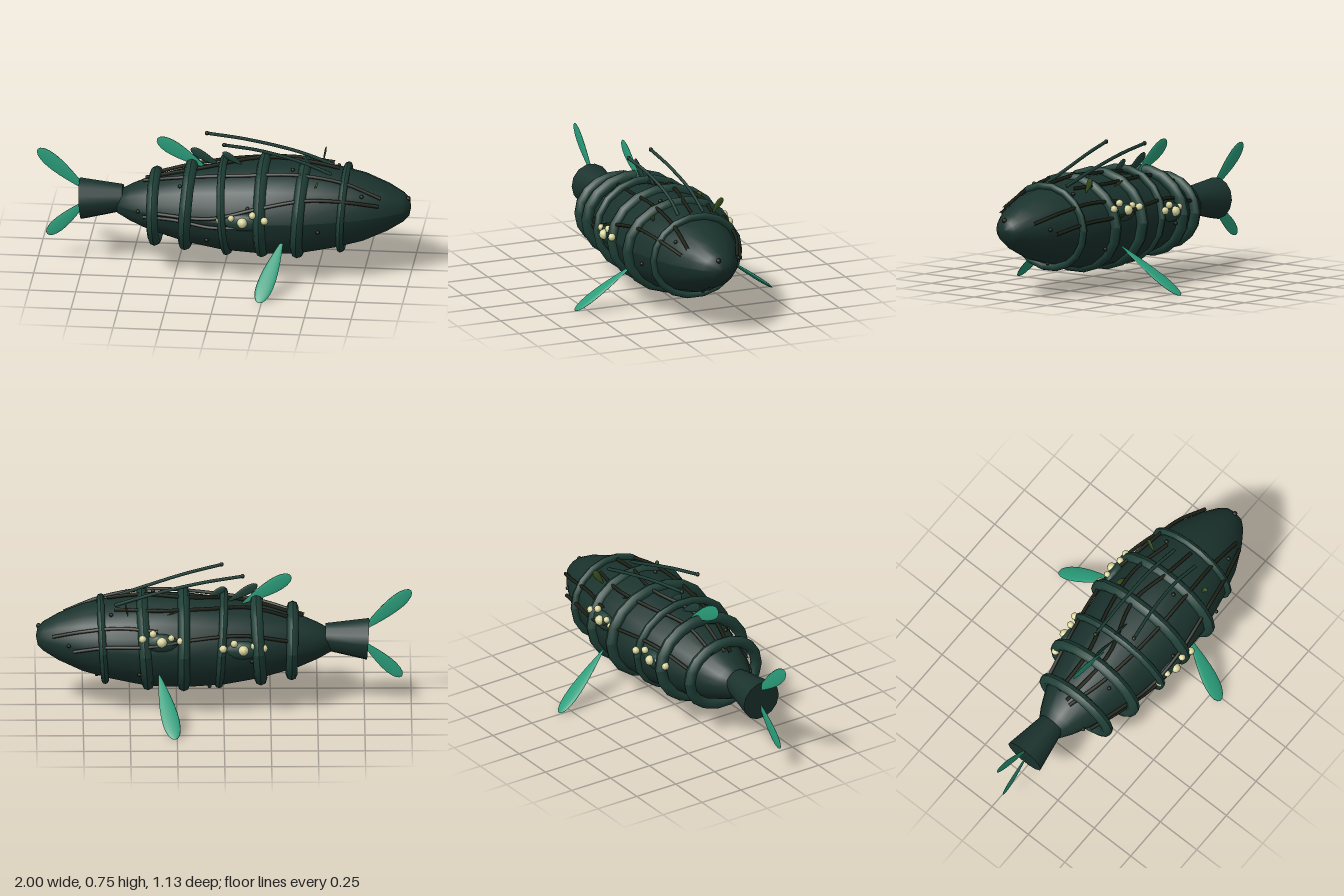
import * as THREE from 'three';

const mat = (color) => new THREE.MeshStandardMaterial({ color });
const V = (x, y, z) => new THREE.Vector3(x, y, z);

// Body profile: [x, vertical radius]; the body is wider than tall
const PROFILE = [[-0.57, 0.06], [-0.5, 0.098], [-0.4, 0.14], [-0.2, 0.197], [0, 0.232], [0.2, 0.25], [0.4, 0.25],
  [0.6, 0.216], [0.75, 0.18], [0.88, 0.125], [0.96, 0.078], [0.99, 0.048], [1, 0]];
const WIDE = 1.15, MID_Z = 0.04;
const midY = (x) => 0.348 + 0.03 * Math.max(0, x);

function radiusAt(x) {
  let i = 1;
  while (i < PROFILE.length - 1 && PROFILE[i][0] < x) i++;
  const [x0, r0] = PROFILE[i - 1], [x1, r1] = PROFILE[i];
  return THREE.MathUtils.mapLinear(x, x0, x1, r0, r1);
}

// Point on the hull: angle in degrees, 0 = +z side, 90 = top, 180 = -z side
function onHull(x, deg, off = 0) {
  const a = THREE.MathUtils.degToRad(deg), r = radiusAt(x) + off;
  return V(x, midY(x) + r * Math.sin(a), MID_Z + r * WIDE * Math.cos(a));
}

export function createModel() {
  const root = new THREE.Group();
  const hullMat = mat(0x1a322d), bandMat = mat(0x1f4037), vineMat = mat(0x1c2016);
  const finMat = mat(0x2a9d7a), podMat = mat(0xdcd8a0), leafMat = mat(0x3a5220);

  const add = (name, geo, material, parent = root) => {
    const m = new THREE.Mesh(geo, material);
    m.name = name;
    parent.add(m);
    return m;
  };
  const group = (name) => {
    const g = new THREE.Group();
    g.name = name;
    root.add(g);
    return g;
  };
  const ball = (name, p, r, material, parent) =>
    add(name, new THREE.SphereGeometry(r, 8, 6), material, parent).position.copy(p);
  const tube = (name, pts, r, material, parent) =>
    add(name, new THREE.TubeGeometry(new THREE.CatmullRomCurve3(pts), 24, r, 6), material, parent);

  // Hull: a lathe laid along x, widened and slightly lifted toward the nose
  const hull = new THREE.LatheGeometry(
    [[-0.57, 0], ...PROFILE].map(([x, r]) => new THREE.Vector2(r, x)), 18);
  hull.rotateZ(-Math.PI / 2);
  const hp = hull.attributes.position;
  for (let i = 0; i < hp.count; i++) {
    const x = hp.getX(i);
    hp.setXYZ(i, x, hp.getY(i) + midY(x), hp.getZ(i) * WIDE + MID_Z);
  }
  hull.computeVertexNormals();
  add('body', hull, hullMat);

  // Flared tail stem
  const stem = add('tailStem', new THREE.CylinderGeometry(0.112, 0.072, 0.23, 14), hullMat);
  stem.rotation.z = Math.PI / 2 + 0.06;
  stem.position.set(-0.655, 0.364, 0.037);

  // Bands wrapped around the hull: x, centre y, centre z, outer ry, outer rz, tube, tilt
  const bands = group('bands');
  [[-0.365, 0.34, 0.062, 0.21, 0.245, 0.031, 0.02],
    [-0.187, 0.36, 0.047, 0.25, 0.297, 0.033, -0.06],
    [0.012, 0.36, 0.053, 0.268, 0.308, 0.022, 0.06],
    [0.213, 0.362, 0.035, 0.277, 0.333, 0.032, 0],
    [0.418, 0.36, 0.043, 0.272, 0.325, 0.032, -0.07],
    [0.643, 0.362, 0.035, 0.242, 0.267, 0.02, -0.06]].forEach(([x, y, z, ry, rz, t, tilt]) => {
    const g = new THREE.TorusGeometry(1, t, 8, 18);
    const p = g.attributes.position;
    for (let i = 0; i < p.count; i++) {
      const a = Math.atan2(p.getY(i), p.getX(i));
      const d = Math.hypot(p.getX(i), p.getY(i)) - 1;
      p.setXYZ(i, p.getZ(i), (ry - t + d) * Math.sin(a), -(rz - t + d) * Math.cos(a));
    }
    g.computeVertexNormals();
    const band = add('band', g, bandMat, bands);
    band.position.set(x, y, z);
    band.rotation.z = tilt;
  });

  // Leaf-shaped blade from base to tip, narrow at the base
  function blade(name, base, tip, width, thick, normal, material) {
    const g = new THREE.SphereGeometry(1, 14, 12);
    const p = g.attributes.position;
    for (let i = 0; i < p.count; i++) {
      const v = (p.getY(i) + 1) / 2, k = 0.3 + 0.85 * v;
      p.setXYZ(i, p.getX(i) * k * width / 2, v, p.getZ(i) * k * thick / 2);
    }
    const dir = tip.clone().sub(base);
    const len = dir.length();
    dir.normalize();
    const side = dir.clone().cross(normal).normalize();
    const out = side.clone().cross(dir);
    g.scale(1, len, 1);
    g.computeVertexNormals();
    g.applyMatrix4(new THREE.Matrix4().makeBasis(side, dir, out).setPosition(base));
    return add(name, g, material);
  }
  const Z = V(0, 0, 1);

  // Tail and back fins stand in the middle plane
  blade('upperTailFin', V(-0.73, 0.4, 0.037), V(-1, 0.63, 0.037), 0.1, 0.012, Z, finMat);
  blade('lowerTailFin', V(-0.73, 0.35, 0.037), V(-0.95, 0.145, 0.037), 0.09, 0.012, Z, finMat);
  blade('backFin', V(-0.1, 0.56, 0.037), V(-0.36, 0.715, 0.037), 0.1, 0.012, Z, finMat);
  blade('backFinlet', V(-0.02, 0.57, 0.037), V(-0.18, 0.665, 0.037), 0.06, 0.012, Z, bandMat);
  blade('backFinlet', V(0.1, 0.58, 0.037), V(-0.01, 0.65, 0.037), 0.045, 0.012, Z, bandMat);

  // Side fins reach down and outward
  [['leftSideFin', V(0.335, 0.25, 0.27), V(0.235, 0.003, 0.565)],
    ['rightSideFin', V(0.345, 0.25, -0.225), V(0.26, 0.003, -0.567)]].forEach(([name, base, tip]) => {
    const n = tip.clone().sub(base).cross(V(1, 0, 0)).normalize();
    blade(name, base, tip, 0.115, 0.026, n, finMat);
  });

  // Trailing feelers with knob ends
  const feelers = group('feelers');
  [[V(0.58, 0.575, 0.11), V(0.42, 0.635, 0.1), V(0.2, 0.7, 0.12), V(0.01, 0.738, 0.153)],
    [V(0.58, 0.575, -0.035), V(0.38, 0.64, -0.045), V(0.12, 0.7, -0.035), V(-0.1, 0.733, -0.022)]].forEach((pts) => {
    tube('feeler', pts, 0.009, bandMat, feelers);
    ball('feelerKnob', pts[3], 0.012, vineMat, feelers);
  });

  // Creeping vines: lists of [x, degrees] on the hull
  const vines = group('vines');
  [[[-0.35, 4], [-0.05, 6], [0.2, 20], [0.45, 30], [0.65, 30], [0.84, 24]],
    [[-0.43, 80], [-0.2, 66], [0.1, 62], [0.4, 62], [0.65, 58], [0.85, 40]],
    [[-0.4, 112], [-0.15, 106], [0.1, 118], [0.35, 124], [0.58, 118]],
    [[-0.42, 90], [-0.1, 84], [0.2, 100], [0.45, 92], [0.62, 88]],
    [[0.35, 150], [0.55, 146], [0.75, 150], [0.91, 160]],
    [[-0.42, -8], [-0.25, -2], [-0.05, -6], [0.1, -4]],
    [[-0.35, 160], [-0.1, 152], [0.15, 158], [0.4, 168], [0.62, 172], [0.8, 186]]].forEach((path) =>
    tube('vine', path.map(([x, a]) => onHull(x, a, 0.012)), 0.01, vineMat, vines));

  // Clusters of pale pods on low mounds: centre x, degrees, pods as [dx, dDegrees, radius]
  const pods = [[-0.125, 3, 0.022], [-0.065, 6, 0.018], [-0.005, 1, 0.028], [0.05, 10, 0.02], [0.115, 4, 0.021]];
  [[0.13, 3, 1], [-0.1, 172, 0.9], [0.335, 163, 0.85]].forEach(([x, deg, s]) => {
    const cluster = group('podCluster');
    const mound = add('mound', new THREE.SphereGeometry(1, 12, 8), bandMat, cluster);
    mound.scale.set(0.11 * s, 0.05, 0.035);
    mound.position.copy(onHull(x, deg, -0.005));
    const turn = deg > 90 ? -1 : 1;
    pods.forEach(([dx, da, r]) =>
      ball('pod', onHull(x + dx * s, deg + turn * da, 0.024), r, podMat, cluster));
  });

  // Small leaves on the upper hull
  blade('leaf', V(0.51, 0.54, -0.115), V(0.525, 0.625, -0.168), 0.045, 0.012, V(1, 0, 0), leafMat);
  blade('leaf', onHull(0.5, 48), onHull(0.52, 50, 0.04), 0.035, 0.012, V(1, 0, 0), leafMat);
  blade('leaf', onHull(0.3, 128), onHull(0.24, 126, 0.03), 0.035, 0.012, V(0, 1, 0.3), leafMat);

  // Warts scattered over the hull, and one on the nose
  const warts = group('warts');
  for (let i = 0; i < 18; i++) {
    ball('wart', onHull(-0.45 + i * 0.075, (i * 137.5) % 360, 0.002), 0.011, vineMat, warts);
  }
  ball('noseWart', V(0.985, 0.43, 0.052), 0.014, vineMat, warts);

  return root;
}
